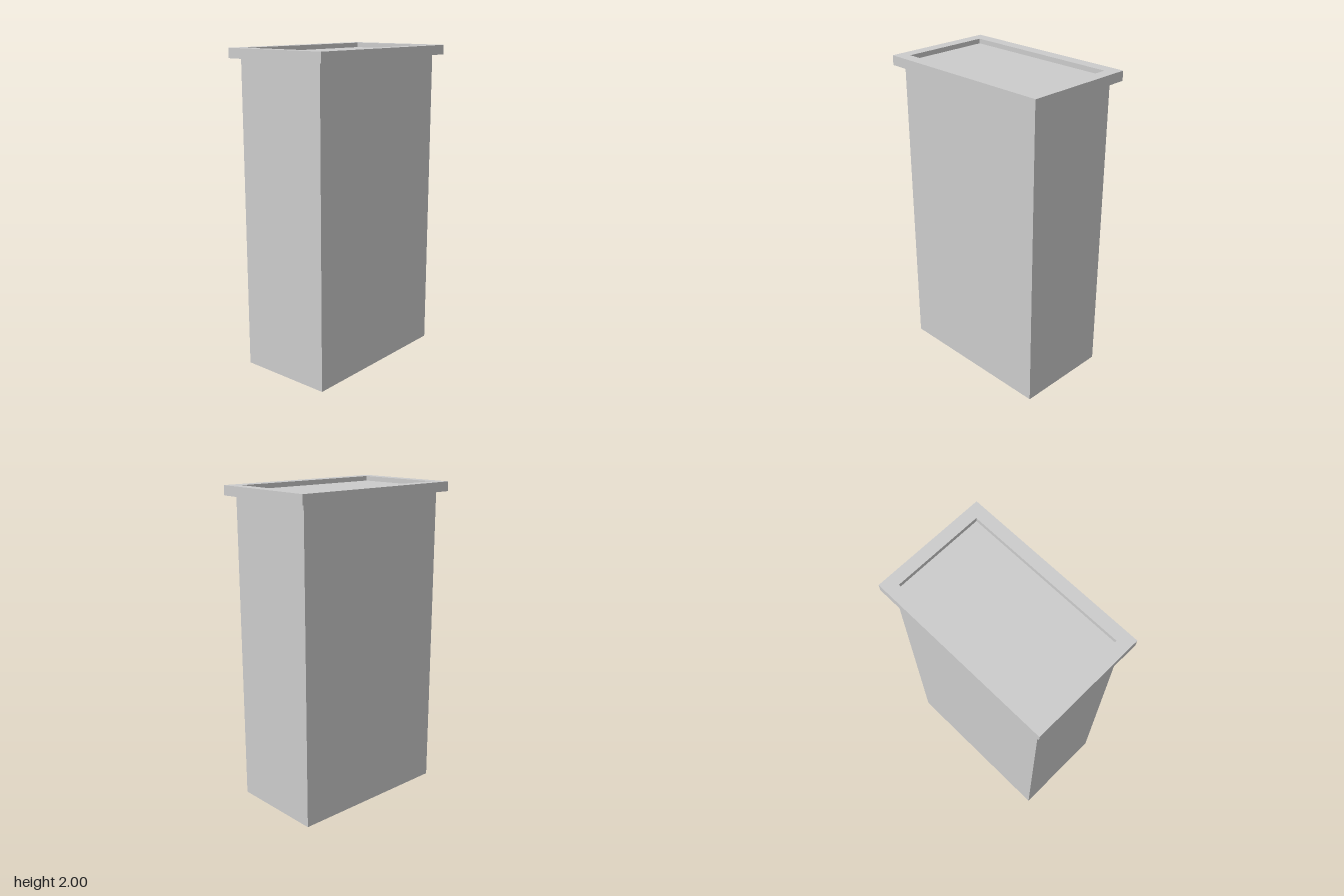
import * as THREE from 'three';

const material = new THREE.MeshStandardMaterial({ color: 0xcccccc, flatShading: true });

// Traces a centred rectangle on a shape or hole path
function rectangle(path, halfX, halfZ) {
  path.moveTo(-halfX, -halfZ);
  path.lineTo(halfX, -halfZ);
  path.lineTo(halfX, halfZ);
  path.lineTo(-halfX, halfZ);
  path.closePath();
  return path;
}

export function createModel() {
  const group = new THREE.Group();
  const bodyTop = 1.97, rimBottom = 1.94, rimHeight = 0.06;

  // Tall body; its top forms the recessed floor inside the rim
  const body = new THREE.Mesh(new THREE.BoxGeometry(0.62, bodyTop, 1.08), material);
  body.name = 'body';
  body.position.y = bodyTop / 2;
  group.add(body);

  // Overhanging rim with a rectangular opening
  const frame = rectangle(new THREE.Shape(), 0.362, 0.59);
  frame.holes.push(rectangle(new THREE.Path(), 0.286, 0.515));
  const rimGeometry = new THREE.ExtrudeGeometry(frame, { depth: rimHeight, bevelEnabled: false });
  rimGeometry.rotateX(-Math.PI / 2);
  const rim = new THREE.Mesh(rimGeometry, material);
  rim.name = 'topRim';
  rim.position.y = rimBottom;
  group.add(rim);

  return group;
}
